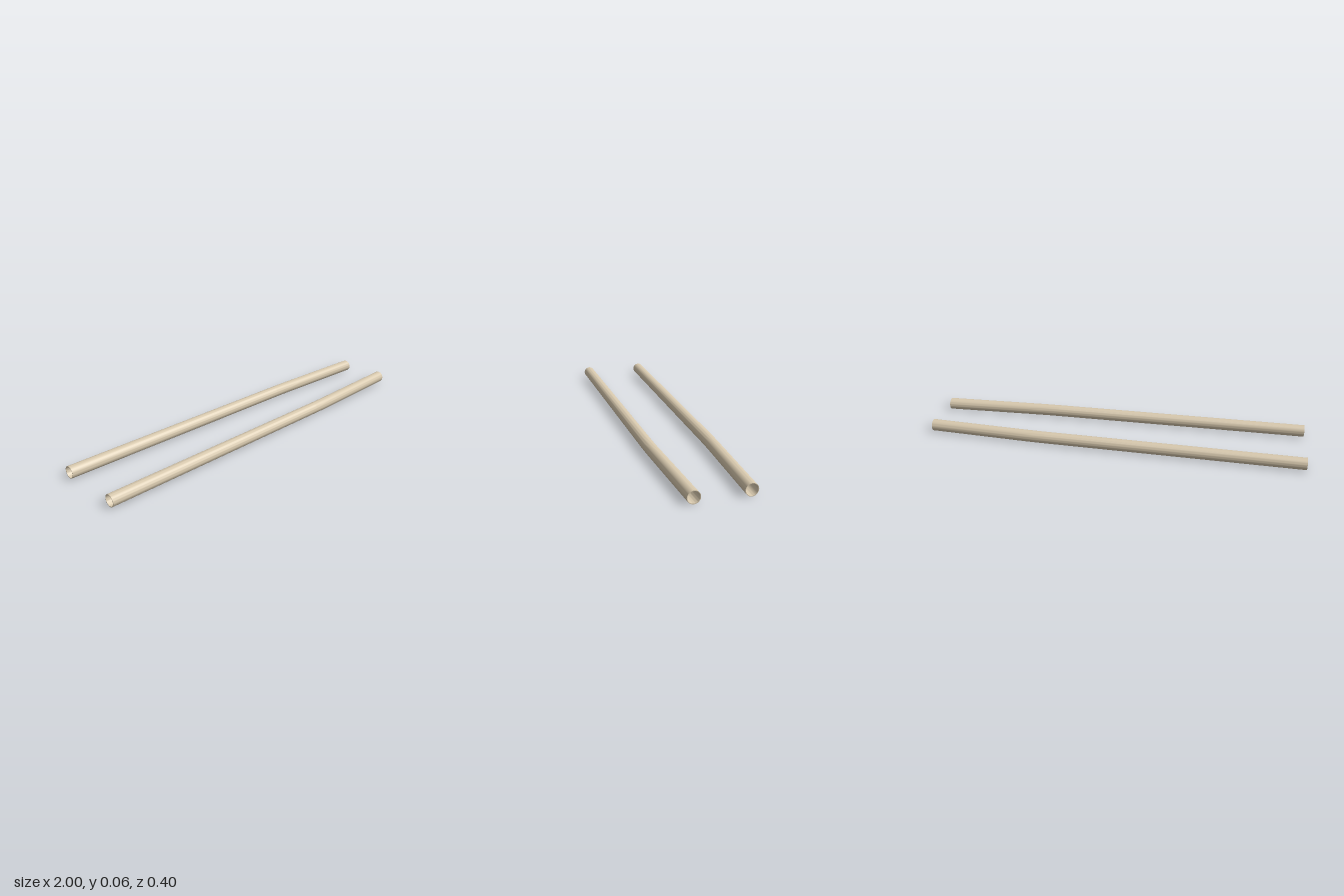
import * as THREE from 'three';
import { toCreasedNormals } from 'three/addons/utils/BufferGeometryUtils.js';

const OUTER = 0.0313, WALL = 0.003, SEGMENTS = 32;

// Centreline stations [x, distance from the middle]: nearly straight, then bent inwards
const PATH = [[-1, 0.168], [0.36, 0.154], [0.42, 0.153], [0.48, 0.151], [0.54, 0.1485], [1, 0.129]];

function centreAt(x) {
  let i = 1;
  while (i < PATH.length - 1 && x > PATH[i][0]) i++;
  const [x0, z0] = PATH[i - 1], [x1, z1] = PATH[i];
  return z0 + (z1 - z0) * (x - x0) / (x1 - x0);
}

// Hollow tube: a closed wall profile turned about its axis, laid along x, then bent sideways
function tubeGeometry(side) {
  const xs = PATH.map(p => p[0]);
  const outer = xs.map(x => new THREE.Vector2(OUTER, x));
  const inner = xs.map(x => new THREE.Vector2(OUTER - WALL, x)).reverse();
  const geometry = new THREE.LatheGeometry([...outer, ...inner, outer[0].clone()], SEGMENTS);
  geometry.rotateZ(-Math.PI / 2);
  const pos = geometry.attributes.position;
  for (let i = 0; i < pos.count; i++) {
    pos.setZ(i, pos.getZ(i) + side * centreAt(pos.getX(i)));
  }
  geometry.translate(0, OUTER, 0);
  return toCreasedNormals(geometry, Math.PI / 5);
}

export function createModel() {
  const group = new THREE.Group();
  group.name = 'railPair';
  const material = new THREE.MeshStandardMaterial({ color: 0xd8c9ae });
  for (const [name, side] of [['frontRail', 1], ['backRail', -1]]) {
    const rail = new THREE.Mesh(tubeGeometry(side), material);
    rail.name = name;
    group.add(rail);
  }
  return group;
}
